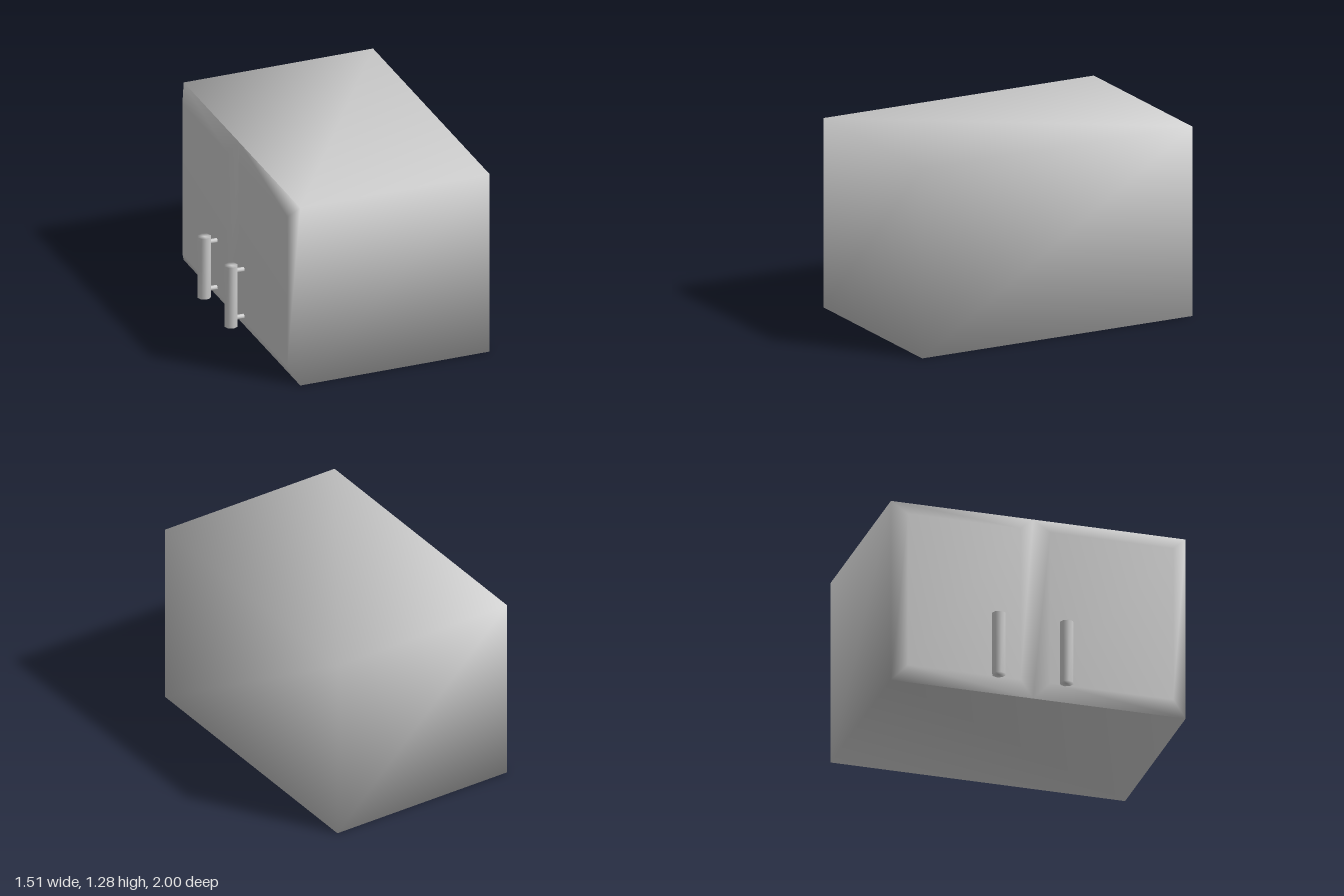
import * as THREE from 'three';
import { mergeGeometries, mergeVertices } from 'three/addons/utils/BufferGeometryUtils.js';

const HEIGHT = 1.28;
const FRAME_X = -0.57;   // where the doors meet the body
const DOOR_X = -0.62;    // outer face of the doors
const BEVEL = 0.1;
const SEAM_Z = -0.035;   // line between the two doors

// Weld corners so the normals blend across every edge
function weld(geometry) {
  geometry.deleteAttribute('normal');
  geometry.deleteAttribute('uv');
  const welded = mergeVertices(geometry, 1e-4);
  welded.computeVertexNormals();
  return welded;
}

// Box between two corners, leaving out one side (0 = +x, 1 = -x)
function openBox(x0, x1, z0, z1, openSide) {
  const box = new THREE.BoxGeometry(x1 - x0, HEIGHT, z1 - z0);
  box.translate((x0 + x1) / 2, HEIGHT / 2, (z0 + z1) / 2);
  const index = Array.from(box.index.array);
  index.splice(openSide * 6, 6);
  box.setIndex(index);
  return box;
}

// Door panel whose outer face is drawn in to form wide bevels
function doorPanel(z0, z1) {
  const panel = openBox(DOOR_X, FRAME_X, z0, z1, 0);
  const p = panel.attributes.position;
  const midX = (DOOR_X + FRAME_X) / 2;
  const midZ = (z0 + z1) / 2;
  for (let i = 0; i < p.count; i++) {
    if (p.getX(i) > midX) continue;
    p.setY(i, p.getY(i) - BEVEL * Math.sign(p.getY(i) - HEIGHT / 2));
    p.setZ(i, p.getZ(i) - BEVEL * Math.sign(p.getZ(i) - midZ));
  }
  return panel;
}

function createHandle(name, z, material) {
  const handle = new THREE.Group();
  handle.name = name;

  // Upright grip
  const grip = new THREE.Mesh(weld(new THREE.CylinderGeometry(0.046, 0.046, 0.435, 8)), material);
  grip.name = 'handleGrip';
  grip.position.set(-0.708, 0.29, z);
  handle.add(grip);

  // Two short posts fixing the grip to the door
  for (const [postName, y] of [['lowerHandlePost', 0.125], ['upperHandlePost', 0.463]]) {
    const post = new THREE.Mesh(weld(new THREE.CylinderGeometry(0.017, 0.017, 0.09, 8)), material);
    post.name = postName;
    post.rotation.z = Math.PI / 2;
    post.position.set(-0.655, y, z);
    handle.add(post);
  }
  return handle;
}

export function createModel() {
  const model = new THREE.Group();
  model.name = 'cabinet';
  const material = new THREE.MeshStandardMaterial({ color: 0xcccccc });

  // Carcass and both doors as one continuous skin
  const skin = mergeGeometries([
    openBox(FRAME_X, 0.755, -1, 1, 1),
    doorPanel(-1, SEAM_Z),
    doorPanel(SEAM_Z, 1),
  ]);
  const body = new THREE.Mesh(weld(skin), material);
  body.name = 'cabinetBodyWithDoors';
  model.add(body);

  model.add(createHandle('rearDoorHandle', -0.31, material));
  model.add(createHandle('frontDoorHandle', 0.15, material));
  return model;
}
